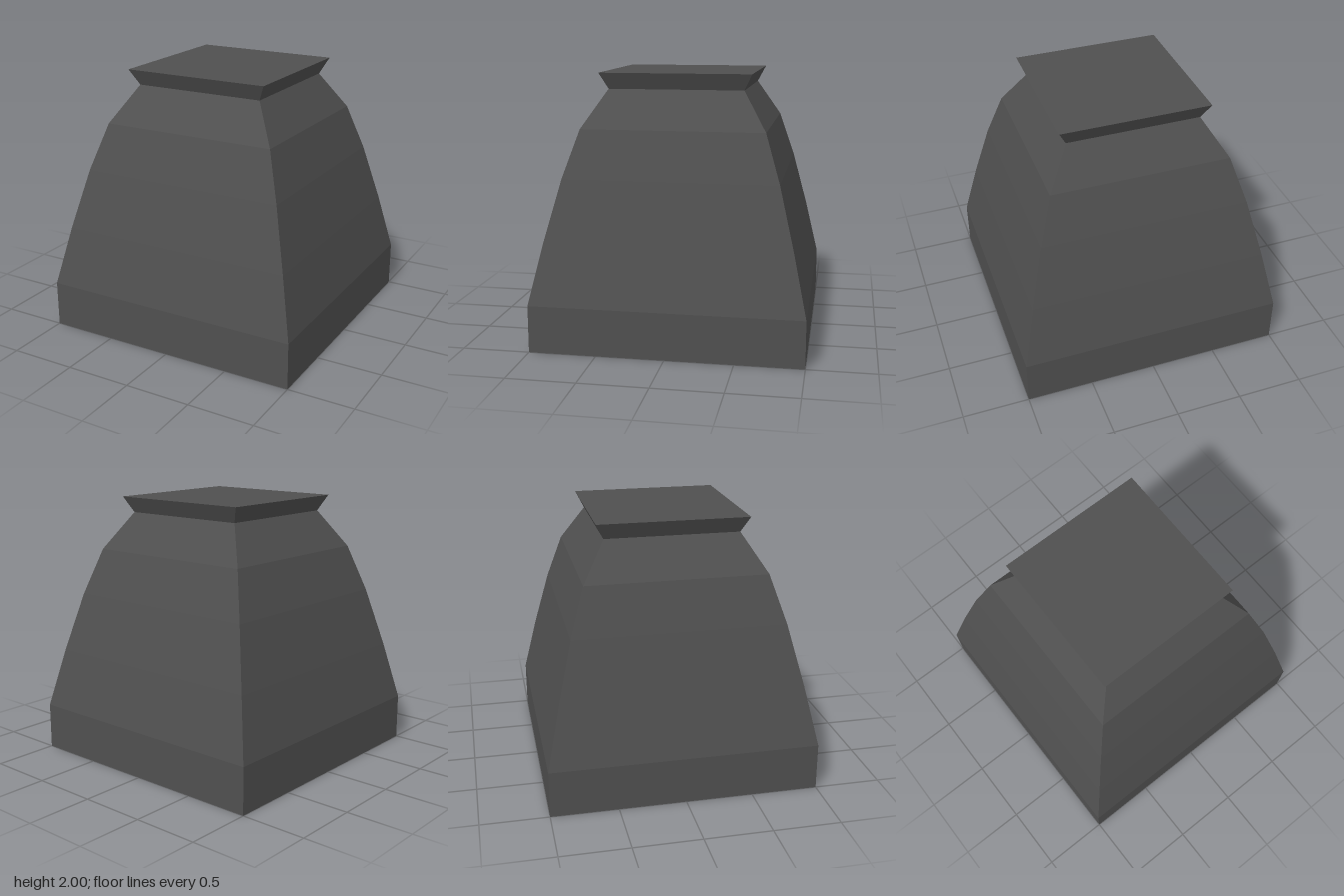
import * as THREE from 'three';

const darkGrey = new THREE.MeshStandardMaterial({ color: 0x505050 });
darkGrey.name = 'darkGrey';

// Sweeps a [half-width, height] profile round four flat sides
function squareLathe(name, profile) {
  const points = profile.map(([w, y]) => new THREE.Vector2(w * Math.SQRT2, y));
  const geometry = new THREE.LatheGeometry(points, 4, Math.PI / 4).toNonIndexed();
  geometry.computeVertexNormals();
  const mesh = new THREE.Mesh(geometry, darkGrey);
  mesh.name = name;
  return mesh;
}

export function createModel() {
  const model = new THREE.Group();
  model.name = 'squarePedestal';

  model.add(
    // Hollow underside: recess ceiling, recess walls and bottom rim
    squareLathe('undersideRecess', [[0, 0.25], [0.875, 0.25], [0.875, 0], [1, 0]]),
    // Upright plinth
    squareLathe('plinth', [[1, 0], [1, 0.35]]),
    // Curved taper up to the neck
    squareLathe('taperedBody', [[1, 0.35], [0.9, 0.8], [0.787, 1.25], [0.675, 1.6], [0.5, 1.88]]),
    // Flared lip closed by a flat top
    squareLathe('flaredTop', [[0.5, 1.88], [0.56, 2], [0, 2]]),
  );
  return model;
}
